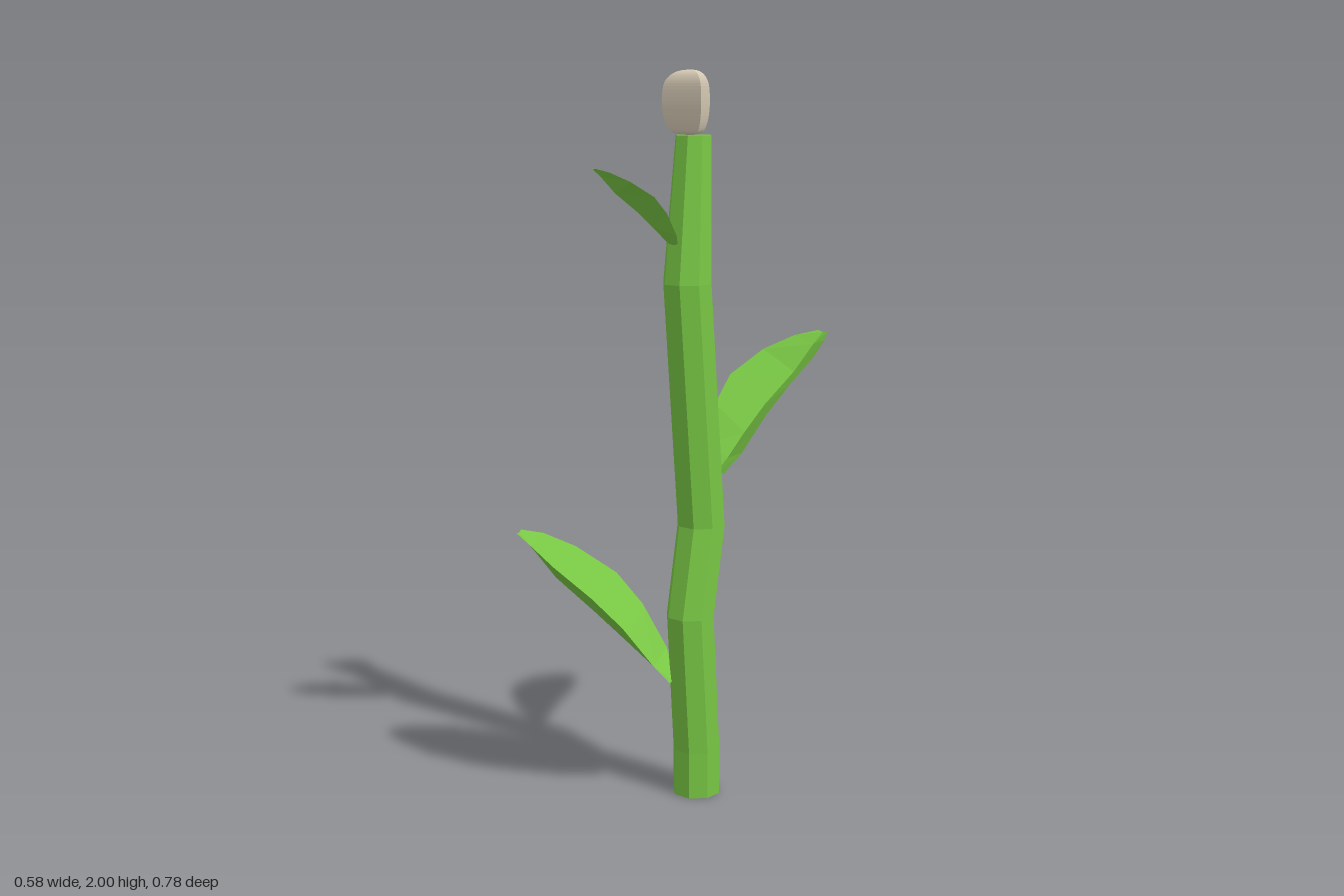
import * as THREE from 'three';

const mat = (color, extra = {}) => new THREE.MeshStandardMaterial({ color, flatShading: true, ...extra });

// Eight-sided stem whose rings [y, x, z, radius] bend it back and forth
function makeStem(material) {
  const rings = [
    [0, 0.127, 0.06, 0.0625],
    [0.13, 0.127, 0.06, 0.0625],
    [0.52, 0.127, 0.088, 0.0625],
    [0.77, 0.127, 0.042, 0.0625],
    [1.44, 0.127, 0.102, 0.0625],
    [1.83, 0.121, 0.07, 0.046],
  ];
  const n = rings.length - 1;
  const geo = new THREE.CylinderGeometry(1, 1, n, 8, n);
  geo.rotateY(Math.PI / 8);
  const p = geo.attributes.position;
  const k = 1 / Math.cos(Math.PI / 8);
  for (let i = 0; i < p.count; i++) {
    const [y, x, z, r] = rings[Math.round(p.getY(i) + n / 2)];
    p.setXYZ(i, x + p.getX(i) * r * k, y, z + p.getZ(i) * r * k);
  }
  geo.computeVertexNormals();
  return new THREE.Mesh(geo, material);
}

// Leaf sections for unit length: edge reach, half width, edge height, midrib reach, midrib height
const LEAF = [
  [0, 0.09, 0.01, 0, 0],
  [0.08, 0.2, 0.16, 0.12, 0.09],
  [0.25, 0.28, 0.42, 0.29, 0.25],
  [0.43, 0.32, 0.61, 0.49, 0.43],
  [0.69, 0.27, 0.78, 0.75, 0.64],
  [0.88, 0.16, 0.88, 0.92, 0.83],
  [1, 0.05, 0.92, 1, 0.91],
];

// Folded leaf from a base point towards the tip's ground position, with a slight sideways bow
function makeLeaf(base, tipX, tipZ, material) {
  const dx = tipX - base[0], dz = tipZ - base[2];
  const pos = [], index = [];
  const put = (u, s, h) => pos.push(
    base[0] + dx * u + dz * s,
    base[1] + Math.hypot(dx, dz) * h,
    base[2] + dz * u - dx * s);
  LEAF.forEach(([u, w, h, um, hm], i) => {
    const bow = 0.045 * Math.sin(Math.PI * um);
    put(u, bow - w, h);
    put(um, bow, hm);
    put(u, bow + w, h);
    if (i === 0) return;
    for (let j = 0; j < 2; j++) {
      const a = (i - 1) * 3 + j, b = a + 3;
      index.push(a, a + 1, b, a + 1, b + 1, b);
    }
  });
  const geo = new THREE.BufferGeometry();
  geo.setAttribute('position', new THREE.Float32BufferAttribute(pos, 3));
  geo.setIndex(index);
  geo.computeVertexNormals();
  return new THREE.Mesh(geo, material);
}

// Rounded bud with a triangular cross-section
function makeBud(material) {
  const profile = [
    [0, 1.83], [0.045, 1.835], [0.065, 1.855], [0.076, 1.89], [0.078, 1.93],
    [0.072, 1.965], [0.055, 1.986], [0.03, 1.997], [0, 2],
  ].map(([r, y]) => new THREE.Vector2(r, y));
  const points = new THREE.SplineCurve(profile).getPoints(32);
  points.forEach((q) => { q.x = Math.max(q.x, 0); q.y = Math.min(q.y, 2); });
  const bud = new THREE.Mesh(new THREE.LatheGeometry(points, 3, Math.PI), material);
  bud.position.set(0.121, 0, 0.081);
  return bud;
}

export function createModel() {
  const model = new THREE.Group();
  const add = (name, mesh) => {
    mesh.name = name;
    model.add(mesh);
  };
  const leafMat = mat(0x78c644, { side: THREE.DoubleSide });

  add('stem', makeStem(mat(0x78c644)));
  add('lowerLeaf', makeLeaf([0.1, 0.335, 0.13], -0.285, 0.34, leafMat));
  add('middleLeaf', makeLeaf([0.145, 0.91, 0], 0.22, -0.385, leafMat));
  add('upperLeaf', makeLeaf([0.11, 1.535, 0.135], 0.02, 0.35, leafMat));
  add('bud', makeBud(mat(0xd8ccb6)));
  return model;
}
